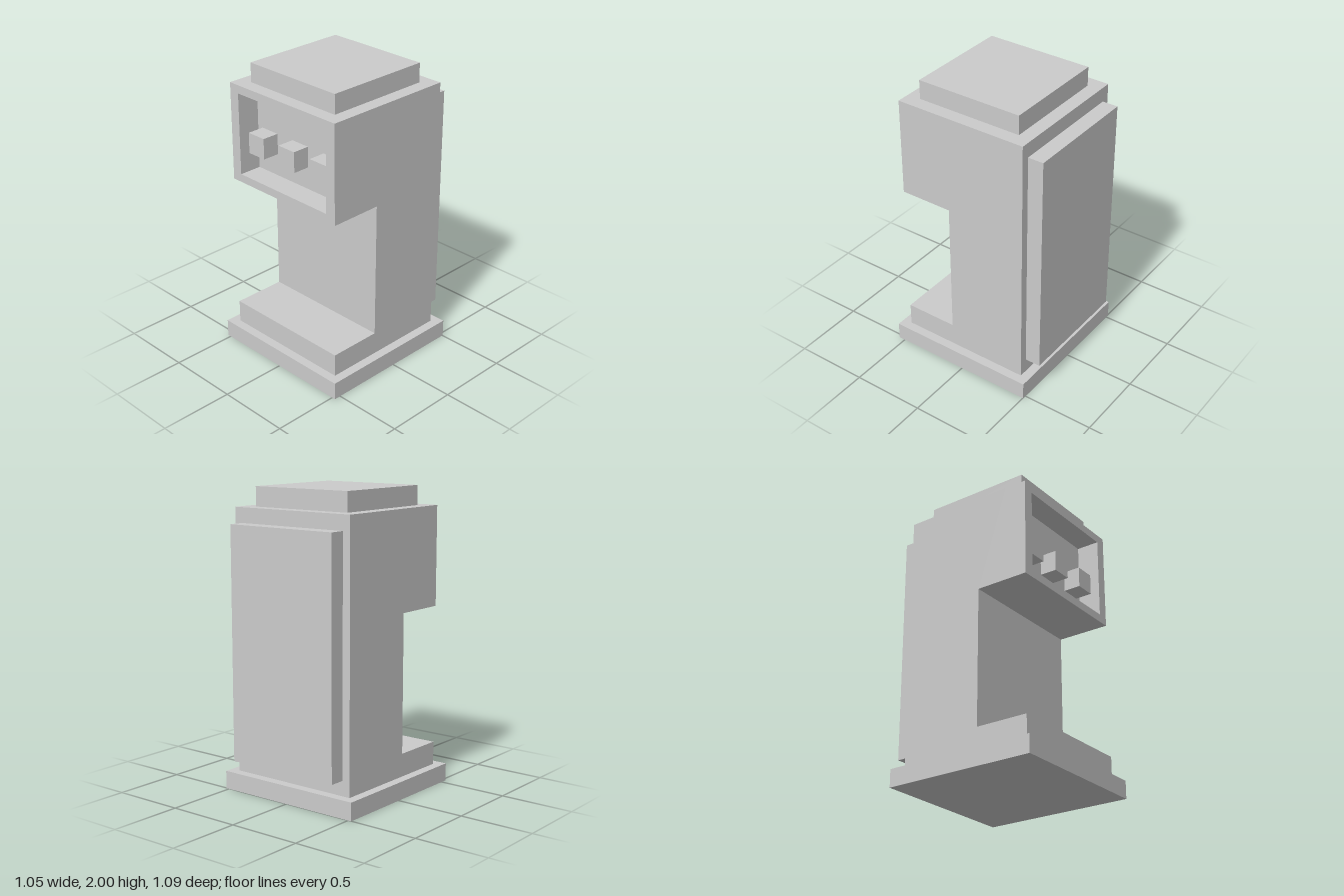
import * as THREE from 'three';

const material = new THREE.MeshStandardMaterial({ color: 0xcccccc, flatShading: true });

function addMesh(group, name, geometry) {
  const mesh = new THREE.Mesh(geometry, material);
  mesh.name = name;
  group.add(mesh);
}

// Box given by its lower and upper limits on each axis
function box(x0, x1, y0, y1, z0, z1) {
  return new THREE.BoxGeometry(x1 - x0, y1 - y0, z1 - z0)
    .translate((x0 + x1) / 2, (y0 + y1) / 2, (z0 + z1) / 2);
}

const polygon = (points) => points.map(([x, y]) => new THREE.Vector2(x, y));
const rectangle = (x, y0, y1) => polygon([[-x, y0], [x, y0], [x, y1], [-x, y1]]);

export function createModel() {
  const group = new THREE.Group();
  const half = 0.463, top = 1.87, front = 0.485, back = -0.44;
  const recess = 0.328, headBottom = 1.205;

  addMesh(group, 'base', box(-0.525, 0.525, 0, 0.12, -0.503, 0.547));

  // Body: C-shaped side profile (z, y) extruded across the width
  const profile = new THREE.Shape(polygon([
    [back, 0.12], [front, 0.12], [front, 0.275], [0.12, 0.275],
    [0.12, headBottom], [recess, headBottom], [recess, top], [back, top],
  ]));
  const body = new THREE.ExtrudeGeometry(profile, { depth: half * 2, bevelEnabled: false });
  body.translate(0, 0, -half).rotateY(-Math.PI / 2);
  addMesh(group, 'body', body);

  // Frame around the recessed control panel
  const frame = new THREE.Shape(rectangle(half, headBottom, top));
  frame.holes.push(new THREE.Path(rectangle(0.39, 1.26, 1.815)));
  const frameGeometry = new THREE.ExtrudeGeometry(frame, { depth: front - recess, bevelEnabled: false });
  addMesh(group, 'controlFrame', frameGeometry.translate(0, 0, recess));

  // Three buttons standing out of the recess
  for (const x of [-0.278, 0, 0.278]) {
    addMesh(group, 'button', box(x - 0.07, x + 0.07, 1.41, 1.55, 0.305, 0.445));
  }

  addMesh(group, 'topCap', box(-0.37, 0.37, top, 2, -0.347, 0.392));
  addMesh(group, 'backPanel', box(-0.408, 0.408, 0.22, 1.77, -0.547, back));

  return group;
}
